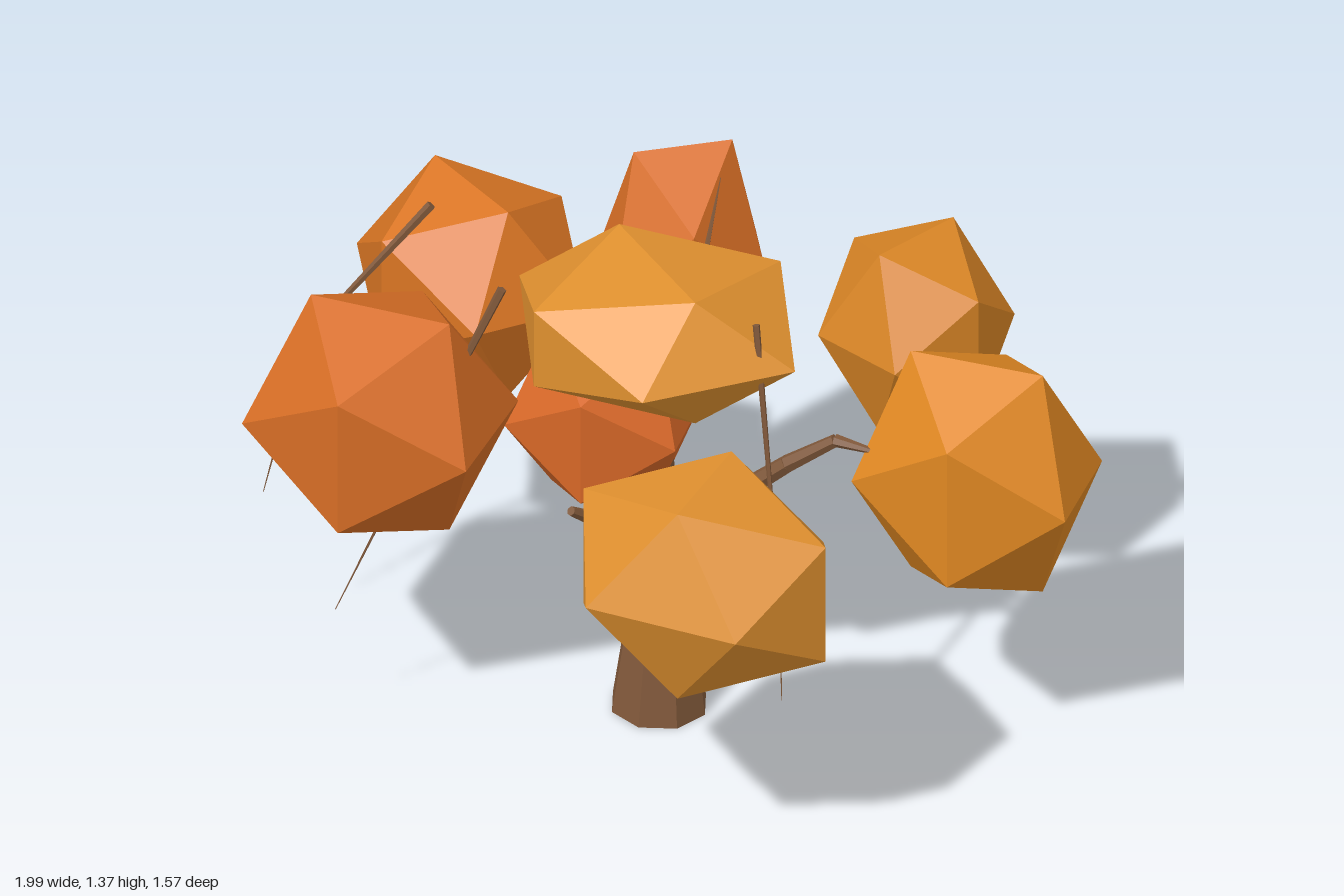
import * as THREE from 'three';

const UP = new THREE.Vector3(0, 1, 0);

function material(color) {
  return new THREE.MeshStandardMaterial({ color, flatShading: true });
}

// Chain of tapered faceted segments through points [x, y, z, radius]
function limb(name, points, sides, mat) {
  const group = new THREE.Group();
  group.name = name;
  for (let i = 0; i < points.length - 1; i++) {
    const a = new THREE.Vector3(...points[i].slice(0, 3));
    const b = new THREE.Vector3(...points[i + 1].slice(0, 3));
    const dir = b.clone().sub(a);
    const geo = new THREE.CylinderGeometry(points[i + 1][3], points[i][3], dir.length(), sides);
    const mesh = new THREE.Mesh(geo, mat);
    mesh.name = name + 'Segment';
    mesh.position.copy(a).add(b).multiplyScalar(0.5);
    mesh.quaternion.setFromUnitVectors(UP, dir.normalize());
    group.add(mesh);
  }
  return group;
}

// Faceted leaf clump: turned about y, then stretched along the world axes
function clump({ name, at, size, turn, color }) {
  const geo = new THREE.IcosahedronGeometry(1, 0);
  geo.rotateY(turn);
  geo.scale(...size);
  const mesh = new THREE.Mesh(geo, material(color));
  mesh.name = name;
  mesh.position.set(...at);
  return mesh;
}

export function createModel() {
  const tree = new THREE.Group();
  tree.name = 'autumnTree';
  const bark = material(0x80583a);

  // Trunk
  tree.add(limb('trunk', [
    [-0.053, 0, -0.053, 0.12], [-0.045, 0.45, -0.055, 0.06], [-0.035, 0.56, -0.06, 0.042],
  ], 8, bark));

  // Main branches
  tree.add(limb('leftBranch', [
    [-0.03, 0.43, -0.055, 0.045], [0.08, 0.58, -0.06, 0.028], [0.28, 0.76, -0.06, 0.022],
    [0.4, 0.85, -0.07, 0.016], [0.54, 0.85, -0.06, 0.004],
  ], 6, bark));
  tree.add(limb('frontBranch', [
    [-0.05, 0.43, -0.04, 0.045], [-0.1, 0.54, 0.05, 0.028], [-0.17, 0.66, 0.2, 0.012],
  ], 6, bark));
  tree.add(limb('centreBranch', [
    [-0.04, 0.53, -0.06, 0.035], [-0.03, 0.75, -0.02, 0.025], [0, 1.06, 0.06, 0.018],
  ], 6, bark));

  // Thin hanging and upright twigs
  const twigs = [
    ['rightTwig', [-0.65, 1.25, -0.06, 0.012], [-0.9, 0.91, 0.12, 0.006], [-0.99, 0.48, 0.16, 0.001]],
    ['frontRightTwig', [-0.35, 1.24, 0.2, 0.012], [-0.6, 0.62, 0.32, 0.004], [-0.71, 0.34, 0.367, 0.001]],
    ['frontLeftTwig', [0.3, 1.29, 0.17, 0.009], [0.39, 0.64, 0.245, 0.004], [0.42, 0.33, 0.29, 0.001]],
    ['backTwig', [-0.02, 0.78, -0.02, 0.016], [0, 1.18, -0.2, 0.008], [0.005, 1.365, -0.285, 0.001]],
  ];
  for (const [name, ...points] of twigs) tree.add(limb(name, points, 5, bark));

  // Leaf clumps
  const clumps = [
    { name: 'topClump', at: [0.005, 1.17, 0.088], size: [0.393, 0.2, 0.351], turn: -0.73, color: 0xdf902f },
    { name: 'frontLeftClump', at: [0.325, 0.8, 0.53], size: [0.373, 0.306, 0.294], turn: 1.56, color: 0xdf902f },
    { name: 'leftClump', at: [0.715, 0.775, -0.19], size: [0.318, 0.358, 0.272], turn: 0.09, color: 0xdf8722 },
    { name: 'backLeftClump', at: [0.393, 0.89, -0.56], size: [0.244, 0.294, 0.23], turn: 1.2, color: 0xd98525 },
    { name: 'backClump', at: [-0.208, 0.9, -0.543], size: [0.221, 0.411, 0.248], turn: 0.6, color: 0xd96f26 },
    { name: 'rightClump', at: [-0.645, 0.92, -0.285], size: [0.309, 0.305, 0.261], turn: -0.63, color: 0xd97523 },
    { name: 'frontRightClump', at: [-0.63, 0.87, 0.285], size: [0.338, 0.341, 0.323], turn: 0.04, color: 0xd66d25 },
    { name: 'middleClump', at: [-0.19, 0.8, -0.04], size: [0.25, 0.258, 0.245], turn: 0.14, color: 0xd66727 },
  ];
  for (const c of clumps) tree.add(clump(c));

  return tree;
}
